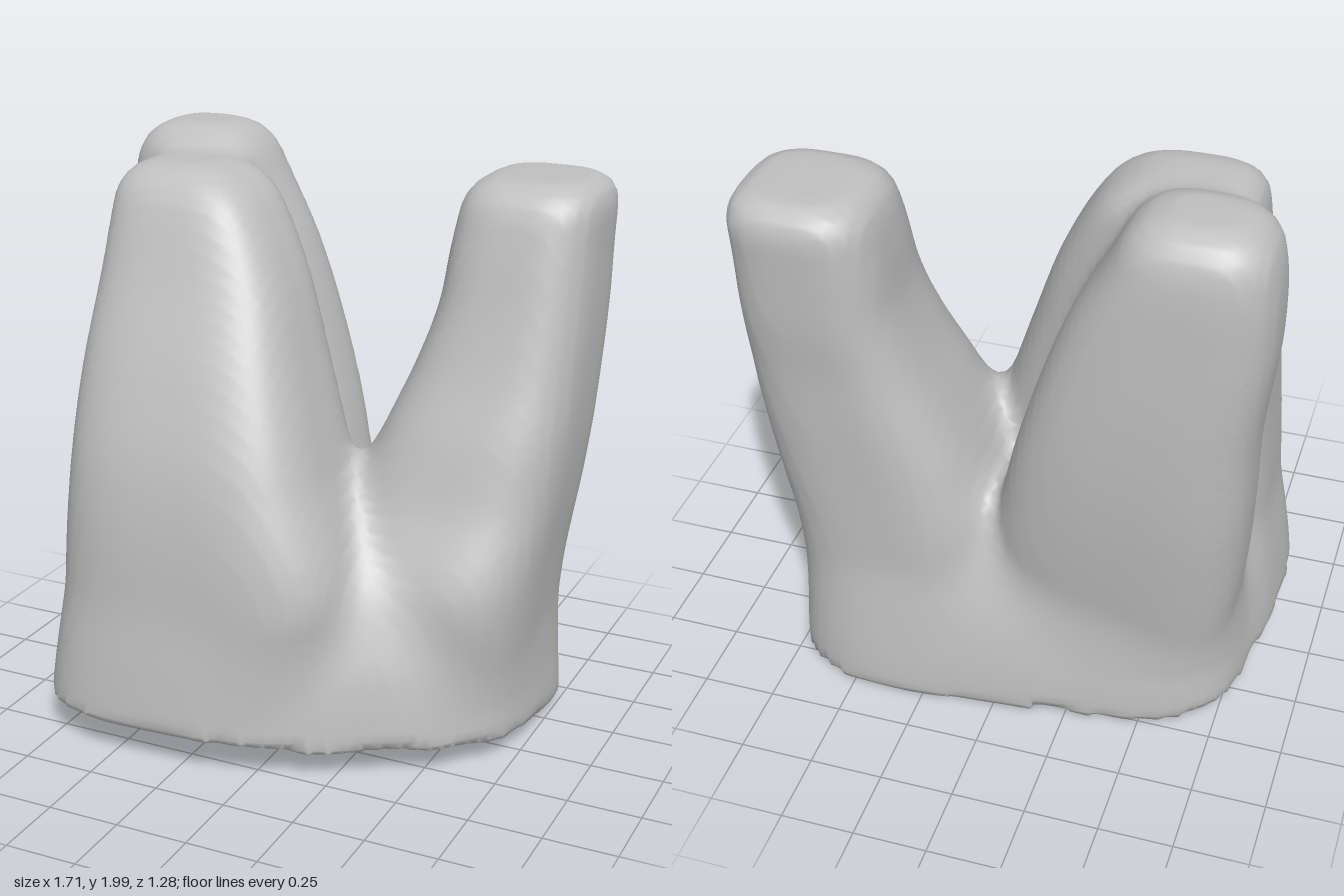
import * as THREE from 'three';

// Root cross-sections: [y, xMin, xMax, zMin, zMax]
const rootShapes = [
  { top: 1.93, n: 3.4, rows: [ // broad front root
    [0.2, -0.8, 0.1, -0.15, 0.58], [0.6, -0.79, 0.25, -0.16, 0.585], [1.0, -0.77, 0.12, -0.18, 0.53],
    [1.3, -0.76, 0.02, -0.2, 0.425], [1.6, -0.74, -0.09, -0.22, 0.285], [1.8, -0.73, -0.2, -0.24, 0.195],
    [1.95, -0.72, -0.32, -0.25, 0.12]] },
  { top: 2.0, n: 2.9, rows: [ // back root beside it
    [0.2, -0.74, 0, -0.47, 0], [0.6, -0.79, 0.05, -0.54, -0.02], [0.9, -0.81, 0, -0.58, -0.06],
    [1.2, -0.82, -0.08, -0.6, -0.1], [1.6, -0.86, -0.22, -0.6, -0.13], [1.85, -0.85, -0.35, -0.59, -0.16],
    [2.0, -0.81, -0.42, -0.56, -0.2]] },
  { top: 1.915, n: 3.2, rows: [ // separate back root
    [0.2, 0.1, 0.73, -0.57, 0.2], [0.6, 0.03, 0.77, -0.58, 0.26], [0.9, 0.11, 0.81, -0.59, 0.14],
    [1.1, 0.19, 0.83, -0.6, 0.075], [1.3, 0.27, 0.84, -0.61, 0], [1.5, 0.33, 0.845, -0.63, -0.06],
    [1.7, 0.355, 0.845, -0.64, -0.11], [1.92, 0.39, 0.85, -0.65, -0.17]] },
];
const roots = rootShapes.map(({ top, n, rows }) => ({
  top, n, section: new THREE.CubicInterpolant(rows.map((r) => r[0]), rows.flatMap((r) => r.slice(1)), 4),
}));

// Outline of the neck, seen from above, as x, z
const neckPoints = [[-0.84, 0.1], [-0.83, 0.42], [-0.7, 0.59], [-0.3, 0.645], [0, 0.59], [0.3, 0.45],
  [0.55, 0.3], [0.68, 0.07], [0.74, -0.2], [0.71, -0.45], [0.5, -0.6], [0.2, -0.6], [-0.2, -0.56],
  [-0.55, -0.48], [-0.75, -0.31], [-0.81, -0.1]];
const BINS = 360;
const neckRadius = new Float32Array(BINS);
const outline = new THREE.CatmullRomCurve3(neckPoints.map(([x, z]) => new THREE.Vector3(x, 0, z)), true);
for (let i = 0; i < 4000; i++) {
  const p = outline.getPoint(i / 4000);
  neckRadius[Math.floor((Math.atan2(p.z, p.x) / (2 * Math.PI) + 1) * BINS) % BINS] = Math.hypot(p.x, p.z);
}

// Rounded union and intersection of solids
const smoothMin = (a, b, k) => {
  const h = Math.max(k - Math.abs(a - b), 0) / k;
  return Math.min(a, b) - h * h * k / 4;
};
const smoothMax = (a, b, k) => -smoothMin(-a, -b, k);

function rootField({ section, top, n }, x, y, z) {
  const [x0, x1, z0, z1] = section.evaluate(y);
  const rx = (x1 - x0) / 2, rz = (z1 - z0) / 2;
  const u = Math.abs(x - (x0 + x1) / 2) / rx, v = Math.abs(z - (z0 + z1) / 2) / rz;
  const side = (Math.pow(u ** n + v ** n, 1 / n) - 1) * Math.min(rx, rz);
  return smoothMax(side, y - top, 0.12);
}

function neckField(x, y, z) {
  const angle = (Math.atan2(z, x) / (2 * Math.PI) + 1) * BINS - 0.5;
  const i = Math.floor(angle), f = angle - i;
  const r = neckRadius[i % BINS] * (1 - f) + neckRadius[(i + 1) % BINS] * f;
  const scale = 1 - 0.2 * THREE.MathUtils.smoothstep(y, 0.05, 0.9);
  return smoothMax((Math.hypot(x, z) / (r * scale) - 1) * 0.6, y - 0.72, 0.4);
}

function bodyField(x, y, z) {
  const blade = smoothMin(rootField(roots[0], x, y, z), rootField(roots[1], x, y, z), 0.06);
  const all = smoothMin(blade, rootField(roots[2], x, y, z), 0.1);
  return smoothMin(all, neckField(x, y, z), 0.08);
}

// Thin-walled body, open below at a slanting, slightly uneven rim
function toothField(x, y, z) {
  const body = bodyField(x, y, z);
  const rim = 0.012 + (z + 0.6) * 0.1 + 0.012 * Math.sin(x * 9) * Math.cos(z * 7);
  return Math.max(body, -body - 0.07, rim - y);
}

// Skin of a solid: one vertex per crossed grid cell, one quad per crossed grid edge
function skin(field, min, size, step) {
  const dims = size.map((s) => Math.ceil(s / step) + 1);
  const stride = [1, dims[0], dims[0] * dims[1]];
  const at = (i, a) => min[a] + i * step;
  const values = new Float32Array(dims[0] * dims[1] * dims[2]);
  const cells = new Int32Array(values.length).fill(-1);
  const each = (visit, from, trim) => {
    for (let k = from; k < dims[2] - trim; k++)
      for (let j = from; j < dims[1] - trim; j++)
        for (let i = from; i < dims[0] - trim; i++) visit([i, j, k], i + j * stride[1] + k * stride[2]);
  };
  each(([i, j, k], id) => { values[id] = field(at(i, 0), at(j, 1), at(k, 2)); }, 0, 0);

  const positions = [], quads = [];
  each((c, id) => {
    const sum = [0, 0, 0];
    let count = 0;
    for (let corner = 0; corner < 8; corner++) {
      const bits = [corner & 1, (corner >> 1) & 1, corner >> 2];
      const start = id + bits[0] + bits[1] * stride[1] + bits[2] * stride[2];
      for (let a = 0; a < 3; a++) {
        if (bits[a]) continue;
        const v0 = values[start], v1 = values[start + stride[a]];
        if ((v0 < 0) === (v1 < 0)) continue;
        for (let b = 0; b < 3; b++) sum[b] += bits[b] + (a === b ? v0 / (v0 - v1) : 0);
        count++;
      }
    }
    if (!count) return;
    cells[id] = positions.length / 3;
    for (let a = 0; a < 3; a++) positions.push(at(c[a] + sum[a] / count, a));
  }, 0, 1);

  each((c, id) => {
    for (let a = 0; a < 3; a++) {
      const inside = values[id] < 0;
      if (inside === values[id + stride[a]] < 0) continue;
      const sb = stride[(a + 1) % 3], sc = stride[(a + 2) % 3];
      const quad = [id - sb - sc, id - sc, id, id - sb].map((q) => cells[q]);
      quads.push(inside ? quad : quad.reverse());
    }
  }, 1, 1);
  return { positions, quads };
}

export function createModel() {
  const group = new THREE.Group();
  group.name = 'threeRootedTooth';
  const grey = new THREE.MeshStandardMaterial({ color: 0xc0c0c0 });
  grey.name = 'paleGrey';

  const { positions, quads } = skin(toothField, [-1, -0.12, -0.8], [2, 2.28, 1.6], 0.029);
  const outer = [], inner = [];
  for (const [a, b, c, d] of quads) {
    const mid = [0, 1, 2].map((k) => (positions[a * 3 + k] + positions[c * 3 + k]) / 2);
    (bodyField(...mid) < -0.04 ? inner : outer).push(a, b, c, a, c, d);
  }
  const whole = new THREE.BufferGeometry();
  whole.setAttribute('position', new THREE.Float32BufferAttribute(positions, 3));
  whole.setIndex([...outer, ...inner]);
  whole.computeVertexNormals();

  // Outer roots with neck, and the hollow underneath
  for (const [name, index] of [['rootsAndNeck', outer], ['hollowUnderside', inner]]) {
    const geometry = whole.clone();
    geometry.setIndex(index);
    const mesh = new THREE.Mesh(geometry, grey);
    mesh.name = name;
    group.add(mesh);
  }
  return group;
}
